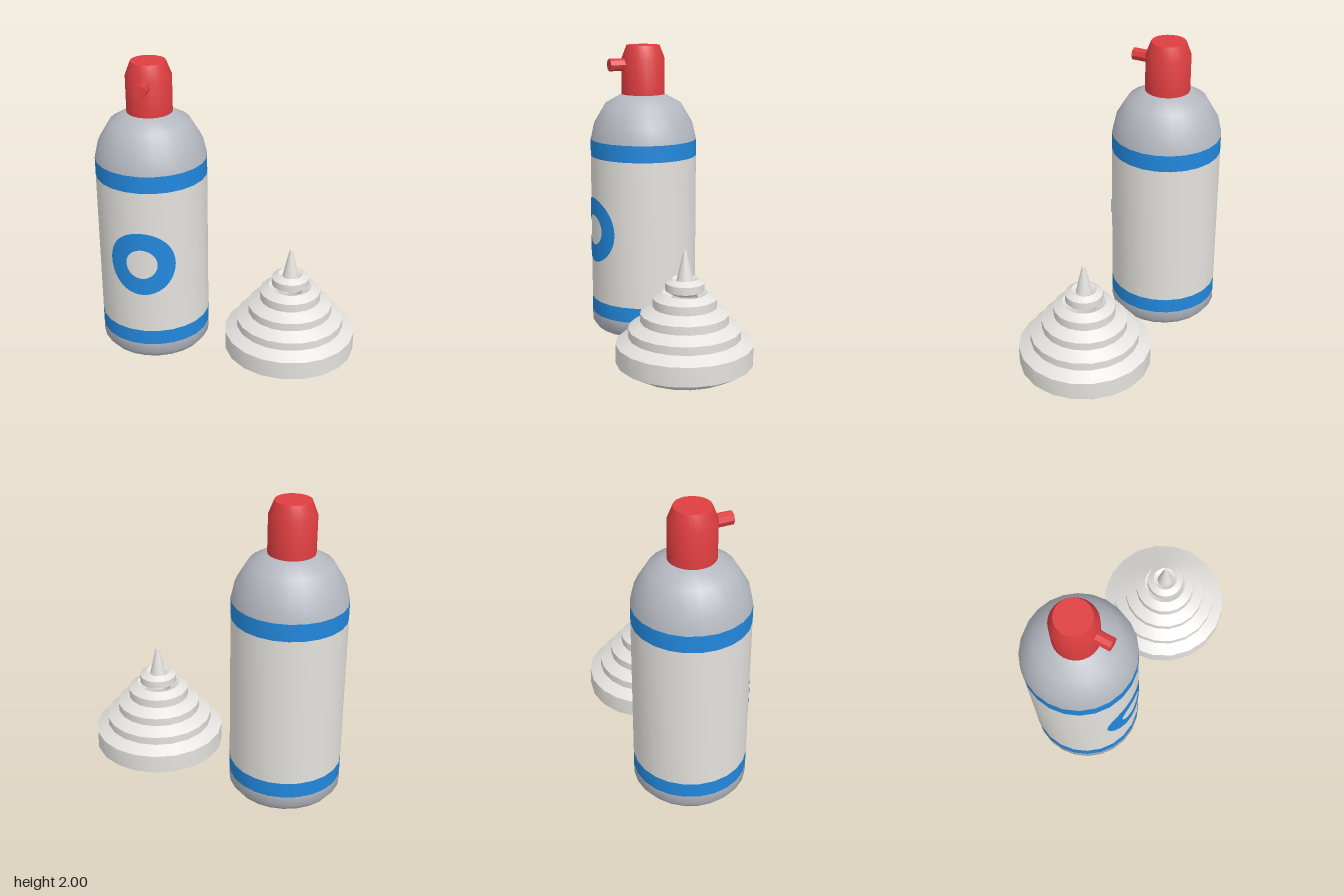
import * as THREE from 'three';
import { toCreasedNormals } from 'three/addons/utils/BufferGeometryUtils.js';

const material = (name, color) => {
  const m = new THREE.MeshStandardMaterial({ color });
  m.name = name;
  return m;
};

// Turned shape from [radius, height] points, listed bottom to top on the outside
function turned(points, sides, crease) {
  const profile = points.map(([r, y]) => new THREE.Vector2(r, y));
  return toCreasedNormals(new THREE.LatheGeometry(profile, sides), crease);
}

function add(parent, name, geometry, mat) {
  const mesh = new THREE.Mesh(geometry, mat);
  mesh.name = name;
  parent.add(mesh);
  return mesh;
}

export function createModel() {
  const metal = material('metal grey', 0xb4b8c0);
  const white = material('cream white', 0xe4e2de);
  const blue = material('label blue', 0x2288dd);
  const red = material('cap red', 0xdf3e40);

  const model = new THREE.Group();
  model.name = 'sprayCanAndCream';

  // Spray can
  const can = new THREE.Group();
  can.name = 'can';
  can.position.set(-0.515, 0, -0.095);
  model.add(can);

  const R = 0.37;
  const sides = 24;
  add(can, 'canBase', turned([[0, 0], [0.335, 0], [R, 0.045], [R, 0.115]], sides, 0.75), metal);
  add(can, 'lowerBand', turned([[R, 0.115], [R, 0.22]], sides, 0.75), blue);
  add(can, 'label', turned([[R, 0.22], [R, 1.24]], sides, 0.75), white);
  add(can, 'upperBand', turned([[R, 1.24], [R, 1.355]], sides, 0.75), blue);
  add(can, 'shoulder', turned([[R, 1.355], [0.345, 1.465], [0.265, 1.6], [0.15, 1.665], [0, 1.665]], sides, 0.75), metal);
  add(can, 'cap', turned([[0.15, 1.66], [0.15, 1.91], [0.115, 2], [0, 2]], sides, 0.75), red);

  // Nozzle pointing forward from the cap
  const nozzle = toCreasedNormals(new THREE.CylinderGeometry(0.043, 0.043, 0.13, 8), 0.5);
  nozzle.rotateX(Math.PI / 2);
  add(can, 'nozzle', nozzle, red).position.set(0, 1.87, 0.185);

  // Round emblem wrapped around the front of the label
  const emblem = new THREE.RingGeometry(0.105, 0.227, 48, 8);
  const pos = emblem.attributes.position;
  for (let i = 0; i < pos.count; i++) {
    const angle = pos.getX(i) / R;
    pos.setXYZ(i, Math.sin(angle) * (R + 0.003), pos.getY(i) + 0.73, Math.cos(angle) * (R + 0.003));
  }
  emblem.computeVertexNormals();
  add(can, 'emblem', emblem, blue);

  // Cream swirl: stacked rings with six-sided sections, shrinking upward
  const cream = new THREE.Group();
  cream.name = 'creamSwirl';
  cream.position.set(0.44, 0, 0.02);
  model.add(cream);

  for (let i = 0; i < 5; i++) {
    const t = i / 4;
    const ringRadius = THREE.MathUtils.lerp(0.332, 0.082, t);
    const tube = THREE.MathUtils.lerp(0.125, 0.05, t);
    const y = THREE.MathUtils.lerp(0.125, 0.56, t);
    const section = [];
    for (let k = 0; k <= 6; k++) {
      const a = ((k - 0.5) * Math.PI) / 3;
      section.push([ringRadius + tube * Math.cos(a), y + tube * Math.sin(a)]);
    }
    add(cream, 'creamRing' + (i + 1), turned(section, 20, 0.7), white);
  }

  // Pointed tip
  add(cream, 'creamTip', turned([[0, 0.54], [0.066, 0.54], [0.01, 0.785], [0, 0.79]], 16, 0.7), white);

  return model;
}
